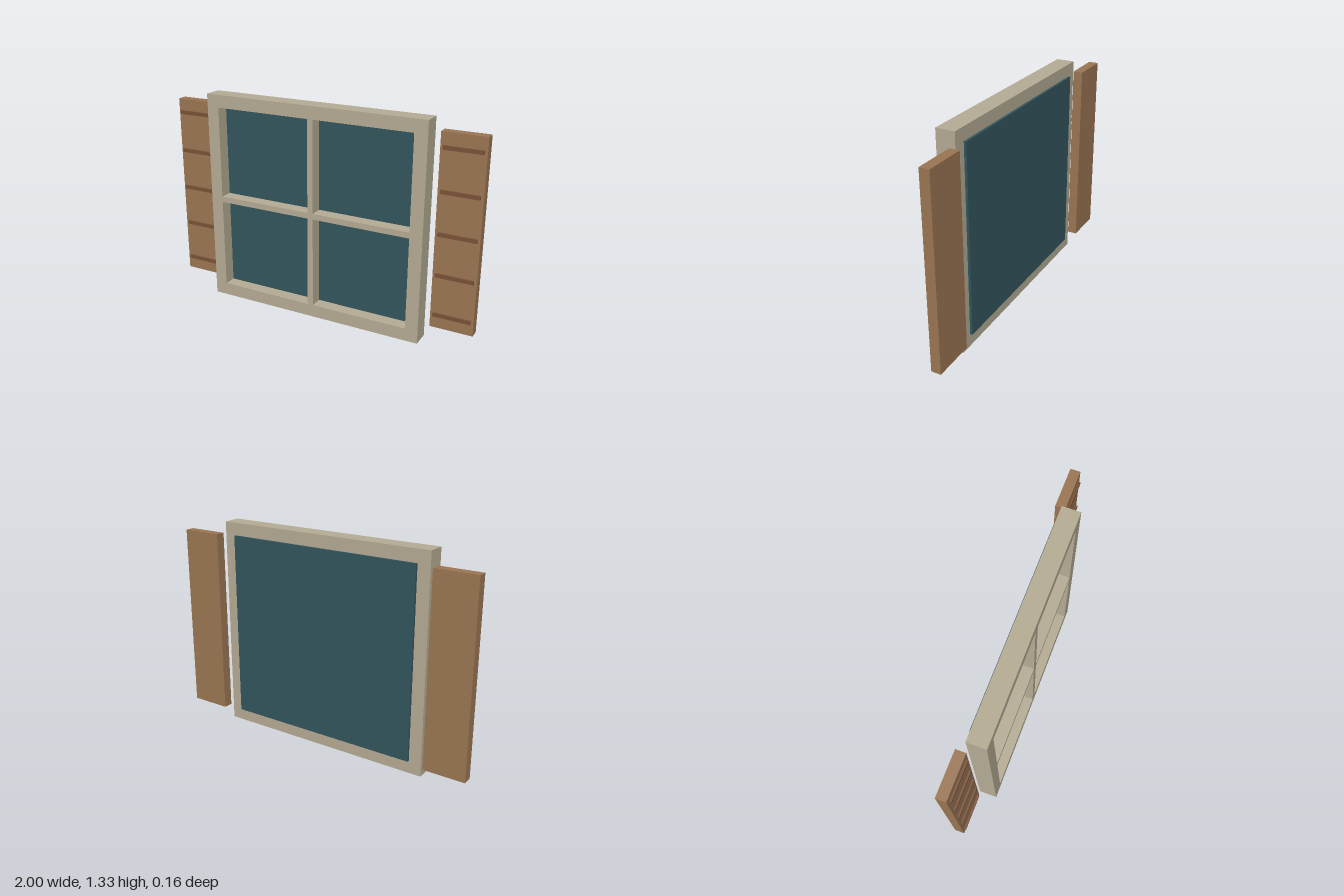
import * as THREE from 'three';

const mat = (color) => new THREE.MeshStandardMaterial({ color });

function box(name, material, w, h, d, x, y, z) {
  const mesh = new THREE.Mesh(new THREE.BoxGeometry(w, h, d), material);
  mesh.name = name;
  mesh.position.set(x, y, z);
  return mesh;
}

function rectangle(Type, x0, y0, x1, y1) {
  return new Type([[x0, y0], [x1, y0], [x1, y1], [x0, y1]].map(([x, y]) => new THREE.Vector2(x, y)));
}

export function createModel() {
  const model = new THREE.Group();
  model.name = 'shutteredWindow';
  const frameMat = mat(0xb5ac94);
  const glassMat = mat(0x33555e);
  const woodMat = mat(0x9b7653);
  const slatMat = mat(0x7a5236);

  // Frame and crossbars: one slab with four pane openings
  const outline = rectangle(THREE.Shape, -0.705, 0, 0.705, 1.325);
  for (const [x0, x1] of [[-0.627, -0.018], [0.018, 0.627]]) {
    for (const [y0, y1] of [[0.079, 0.645], [0.681, 1.247]]) {
      outline.holes.push(rectangle(THREE.Path, x0, y0, x1, y1));
    }
  }
  const frameGeo = new THREE.ExtrudeGeometry(outline, { depth: 0.113, bevelEnabled: false });
  const frame = new THREE.Mesh(frameGeo, frameMat);
  frame.name = 'windowFrame';
  frame.position.z = -0.033;
  model.add(frame);

  // Thick glass pane, set into the frame and standing slightly proud of its back
  model.add(box('glass', glassMat, 1.254, 1.168, 0.048, 0, 0.663, -0.024));

  // Shutters with five thin slats each
  for (const [side, name] of [[1, 'leftShutter'], [-1, 'rightShutter']]) {
    const shutter = new THREE.Group();
    shutter.name = name;
    shutter.position.x = side * 0.87;
    shutter.add(box('shutterPanel', woodMat, 0.26, 1.17, 0.06, 0, 0.663, -0.05));
    for (let i = 0; i < 5; i++) {
      shutter.add(box('slat', slatMat, 0.225, 0.023, 0.016, 0, 0.163 + i * 0.25, -0.016));
    }
    model.add(shutter);
  }
  return model;
}
